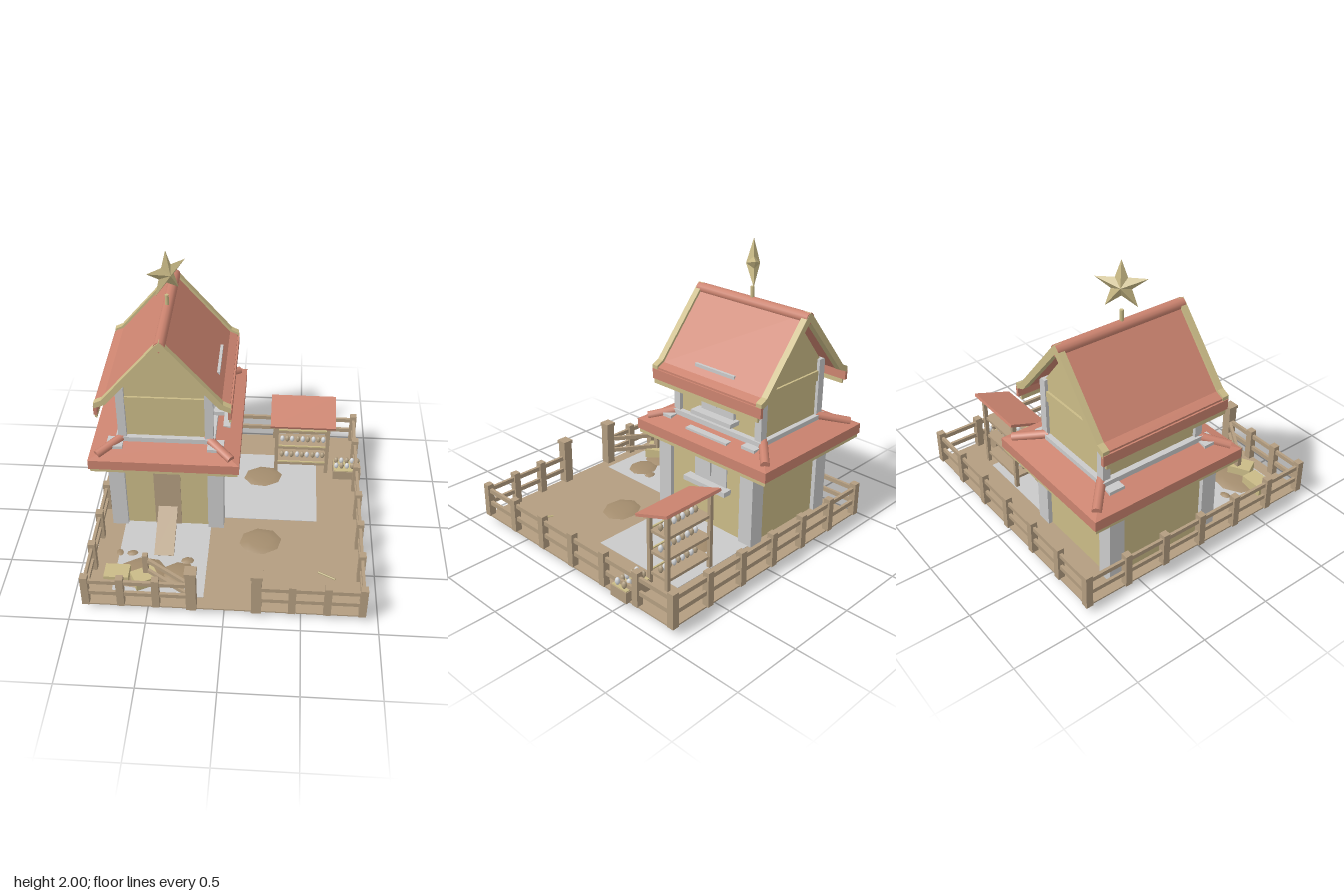
import * as THREE from 'three';

const mat = (name, color) => {
  const m = new THREE.MeshStandardMaterial({ color });
  m.name = name;
  return m;
};

export function createModel() {
  const root = new THREE.Group();
  root.name = 'eggFarm';
  const red = mat('roofRed', 0xcb836f), straw = mat('strawYellow', 0xcabb87),
    grey = mat('stoneGrey', 0xcacaca), wood = mat('wood', 0xb39d80),
    soil = mat('soil', 0xa48d6e), white = mat('eggWhite', 0xd6d8da), tan = mat('eggTan', 0xb3a184);

  const add = (name, geo, m, parent = root) => {
    const mesh = new THREE.Mesh(geo, m);
    mesh.name = name;
    parent.add(mesh);
    return mesh;
  };
  const group = (name) => {
    const g = new THREE.Group();
    g.name = name;
    root.add(g);
    return g;
  };
  // box given by its limits on each axis
  const box = (name, m, x0, x1, y0, y1, z0, z1, parent) => {
    const b = add(name, new THREE.BoxGeometry(x1 - x0, y1 - y0, z1 - z0), m, parent);
    b.position.set((x0 + x1) / 2, (y0 + y1) / 2, (z0 + z1) / 2);
    return b;
  };
  // round or square bar between two points
  const rod = (name, m, a, b, r, sides, parent) => {
    const p = new THREE.Vector3(...a), q = new THREE.Vector3(...b), d = q.clone().sub(p);
    const c = add(name, new THREE.CylinderGeometry(r, r, d.length(), sides), m, parent);
    c.position.copy(p).add(q).multiplyScalar(0.5);
    c.quaternion.setFromUnitVectors(new THREE.Vector3(0, 1, 0), d.normalize());
    return c;
  };
  const CX = -0.445, CZ = -0.31;
  // mirrored profile around the house axis, extruded along z
  const gable = (name, m, half, z0, z1, parent) => {
    const pts = [...half, ...half.slice().reverse().filter(p => p[0] > 0).map(([x, y]) => [-x, y])];
    const g = new THREE.ExtrudeGeometry(new THREE.Shape(pts.map(p => new THREE.Vector2(...p))),
      { depth: z1 - z0, bevelEnabled: false });
    const mesh = add(name, g, m, parent);
    mesh.position.set(CX, 0, z0);
    return mesh;
  };

  // yard
  const yard = group('yard');
  box('ground', wood, -0.91, 0.91, 0.045, 0.055, -0.92, 0.9, yard);
  box('sidePaving', grey, -0.1, 0.61, 0.05, 0.058, -0.67, 0.05, yard);
  box('frontPaving', grey, -0.75, -0.14, 0.05, 0.058, 0.1, 0.81, yard);
  for (const [x, z, rx, ry, rz] of [[0.215, 0.27, 0.17, 0.032, 0.145], [0.21, -0.415, 0.18, 0.032, 0.14],
    [-0.57, 0.62, 0.2, 0.04, 0.165], [-0.32, 0.61, 0.14, 0.034, 0.125], [-0.275, 0.49, 0.06, 0.03, 0.045],
    [-0.66, 0.44, 0.052, 0.03, 0.036], [-0.745, 0.44, 0.035, 0.025, 0.05]]) {
    const s = add('soilMound', new THREE.SphereGeometry(1, 8, 6), soil, yard);
    s.scale.set(rx, ry, rz);
    s.position.set(x, 0.04, z);
    s.rotation.y = 0.2;
  }
  box('hayBale', straw, -0.81, -0.645, 0.055, 0.13, 0.615, 0.735, yard);
  const bale = box('turnedHayBale', straw, -0.62, -0.46, 0.065, 0.135, 0.64, 0.76, yard);
  bale.rotation.y = 0.5;
  rod('strayStraw', straw, [0.615, 0.058, 0.54], [0.73, 0.058, 0.6], 0.007, 4, yard);

  // fence
  const fence = group('fence');
  const post = (x, z) => box('fencePost', wood, x - 0.024, x + 0.024, 0.05, 0.29, z - 0.024, z + 0.024, fence);
  const rails = (x0, z0, x1, z1) => {
    const len = Math.hypot(x1 - x0, z1 - z0);
    for (const y of [0.148, 0.245]) {
      const r = add('fenceRail', new THREE.BoxGeometry(len, 0.03, 0.02), wood, fence);
      r.position.set((x0 + x1) / 2, y, (z0 + z1) / 2);
      r.rotation.y = -Math.atan2(z1 - z0, x1 - x0);
    }
  };
  const L = -0.9, R = 0.895, B = -0.91, F = 0.885;
  for (let i = 0; i <= 6; i++) {
    post(L + (R - L) * i / 6, B);
    if (i > 0) for (const x of [L, R]) post(x, B + (F - B) * i / 6);
  }
  for (const x of [-0.67, -0.44, 0.44, 0.668]) post(x, F);
  rails(L, B, R, B); rails(L, B, L, F); rails(R, B, R, F);
  rails(L, F, -0.21, F); rails(0.21, F, R, F);
  for (const x of [-0.21, 0.21]) {
    box('gatePost', wood, x - 0.033, x + 0.033, 0.05, 0.365, F - 0.033, F + 0.033, fence);
    box('gatePostCap', wood, x - 0.039, x + 0.039, 0.362, 0.386, F - 0.039, F + 0.039, fence);
  }
  // open gate leaf
  rails(-0.21, F, -0.53, 0.67);
  box('gateEndPost', wood, -0.55, -0.515, 0.05, 0.29, 0.655, 0.69, fence);

  // lower floor
  const house = group('house');
  box('lowerWalls', straw, -0.81, -0.08, 0.05, 0.65, -0.665, 0.125, house);
  for (const x of [-0.785, -0.105]) for (const z of [0.1, -0.64])
    box('lowerPillar', grey, x - 0.055, x + 0.055, 0.05, 0.77, z - 0.055, z + 0.055, house);
  box('door', wood, -0.535, -0.35, 0.05, 0.58, 0.11, 0.133, house);
  box('doorLintel', grey, -0.555, -0.335, 0.578, 0.605, 0.11, 0.155, house);
  const ramp = box('doorRamp', wood, -0.51, -0.375, 0.13, 0.15, 0.08, 0.47, house);
  ramp.rotation.x = 0.47;
  box('lowerWindow', grey, -0.085, -0.072, 0.385, 0.63, -0.45, -0.165, house);
  box('lowerWindowSill', grey, -0.09, -0.012, 0.36, 0.395, -0.485, -0.115, house);
  box('lowerWindowBar', grey, -0.08, -0.055, 0.545, 0.565, -0.41, -0.2, house);
  box('lowerWindowMullion', grey, -0.08, -0.06, 0.44, 0.63, -0.315, -0.295, house);
  box('lowerWindowHood', grey, -0.07, -0.02, 0.72, 0.757, -0.485, -0.125, house);

  // skirt roof
  box('skirtTrim', straw, -0.94, 0.05, 0.62, 0.65, -0.87, 0.245, house);
  box('skirtBand', red, -0.95, 0.06, 0.65, 0.72, -0.88, 0.257, house);
  const slope = box('skirtSlope', red, -0.95, 0.06, 0.72, 0.775, -0.88, 0.257, house);
  const sp = slope.geometry.attributes.position;
  for (let i = 0; i < sp.count; i++)
    if (sp.getY(i) > 0) sp.setXYZ(i, sp.getX(i) * 0.58, sp.getY(i), sp.getZ(i) * 0.64);
  slope.geometry.computeVertexNormals();
  for (const sx of [-1, 1]) for (const sz of [-1, 1])
    rod('skirtHipRidge', red, [CX + sx * 0.45, 0.738, CZ + sz * 0.52],
      [CX + sx * 0.275, 0.79, CZ + sz * 0.355], 0.03, 10, house);

  // upper floor
  gable('upperWalls', straw, [[0, 0.75], [0.295, 0.75], [0.295, 1.19], [0, 1.555]], -0.665, 0.055, house);
  for (const x of [-0.735, -0.15]) for (const z of [0.055, -0.66])
    box('upperPillar', grey, x - 0.028, x + 0.028, 0.76, 1.2, z - 0.027, z + 0.027, house);
  for (const z of [0.055, -0.665]) {
    box('gableBeam', straw, -0.71, -0.175, 1.05, 1.12, z - 0.015, z + 0.015, house);
    box('baseBeam', grey, -0.78, -0.11, 0.76, 0.8, z - 0.035, z + 0.035, house);
  }
  for (const x of [-0.745, -0.145])
    box('baseBeam', grey, x - 0.035, x + 0.035, 0.76, 0.8, -0.7, 0.09, house);
  box('upperWindow', grey, -0.16, -0.128, 0.86, 1.18, -0.45, -0.165, house);
  box('upperWindowSill', grey, -0.15, -0.062, 0.845, 0.875, -0.48, -0.13, house);
  box('upperWindowMullion', grey, -0.135, -0.105, 0.93, 1.12, -0.315, -0.297, house);
  box('upperWindowBar', grey, -0.135, -0.105, 1.04, 1.06, -0.41, -0.2, house);
  box('upperWindowLintel', grey, -0.15, -0.09, 1.165, 1.2, -0.475, -0.138, house);

  // main roof
  gable('mainRoof', red, [[0, 1.56], [0.375, 1.122], [0.44, 1.095], [0.44, 1.118], [0.385, 1.142], [0, 1.595]],
    -0.737, 0.122, house);
  for (const z of [0.12, -0.78])
    gable('bargeBoard', straw, [[0, 1.55], [0.37, 1.122], [0.447, 1.09], [0.447, 1.13], [0.395, 1.155],
      [0.025, 1.59], [0, 1.612]], z, z + 0.045, house);
  rod('roofRidge', red, [CX, 1.572, -0.778], [CX, 1.572, 0.158], 0.038, 12, house);
  for (const s of [-1, 1]) {
    const x = CX + s * 0.44;
    box('eaveBand', red, x - 0.011, x + 0.011, 1.035, 1.105, -0.78, 0.16, house);
    box('eaveTrim', straw, x - 0.008, x + 0.008, 1.003, 1.036, -0.755, 0.145, house);
  }

  // star finial: ten-point rim joined to a front and a back apex
  rod('starPole', straw, [CX, 1.6, -0.307], [CX, 1.68, -0.307], 0.013, 8);
  const rim = [], tri = [];
  for (let i = 0; i < 10; i++) {
    const a = Math.PI / 2 + i * Math.PI / 5, r = i % 2 ? 0.065 : 0.165;
    rim.push([r * Math.cos(a), r * Math.sin(a), 0]);
  }
  rim.forEach((p, i) => {
    const q = rim[(i + 1) % 10];
    tri.push(...p, ...q, 0, 0, 0.045, ...q, ...p, 0, 0, -0.045);
  });
  const starGeo = new THREE.BufferGeometry();
  starGeo.setAttribute('position', new THREE.Float32BufferAttribute(tri, 3));
  starGeo.computeVertexNormals();
  const star = add('star', starGeo, straw);
  star.position.set(CX + 0.003, 1.835, -0.307);
  star.rotation.y = Math.PI / 4;

  // egg stall
  const stall = group('eggStall');
  const egg = (x, y, z, i) => {
    const e = add('egg', new THREE.SphereGeometry(1, 8, 6), i % 2 ? white : tan, stall);
    e.scale.set(0.017, 0.026, 0.017);
    e.position.set(x, y + 0.024, z);
  };
  const awning = box('stallRoof', red, 0.255, 0.73, 0.561, 0.581, -0.703, -0.418, stall);
  awning.rotation.x = 0.33;
  for (const x of [0.303, 0.682]) {
    box('stallFrontPost', wood, x - 0.013, x + 0.013, 0.05, 0.545, -0.513, -0.487, stall);
    box('stallBackPost', wood, x - 0.013, x + 0.013, 0.05, 0.595, -0.665, -0.639, stall);
  }
  [0.12, 0.27, 0.42].forEach((y, k) => {
    box('shelf', wood, 0.3, 0.685, y, y + 0.02, -0.655, -0.495, stall);
    box('shelfLip', straw, 0.315, 0.67, y + 0.015, y + 0.028, -0.508, -0.496, stall);
    for (let i = 0; i < 9; i++) egg(0.345 + i * 0.037 + Math.floor(i / 3) * 0.006, y + 0.02, -0.565, i + k);
  });

  // egg crate by the stall
  box('eggCrate', wood, 0.735, 0.94, 0.05, 0.128, -0.56, -0.42, stall);
  box('crateStraw', straw, 0.74, 0.935, 0.126, 0.134, -0.555, -0.425, stall);
  for (let i = 0; i < 10; i++) egg(0.757 + (i % 5) * 0.04, 0.134, i < 5 ? -0.52 : -0.46, i);

  return root;
}
